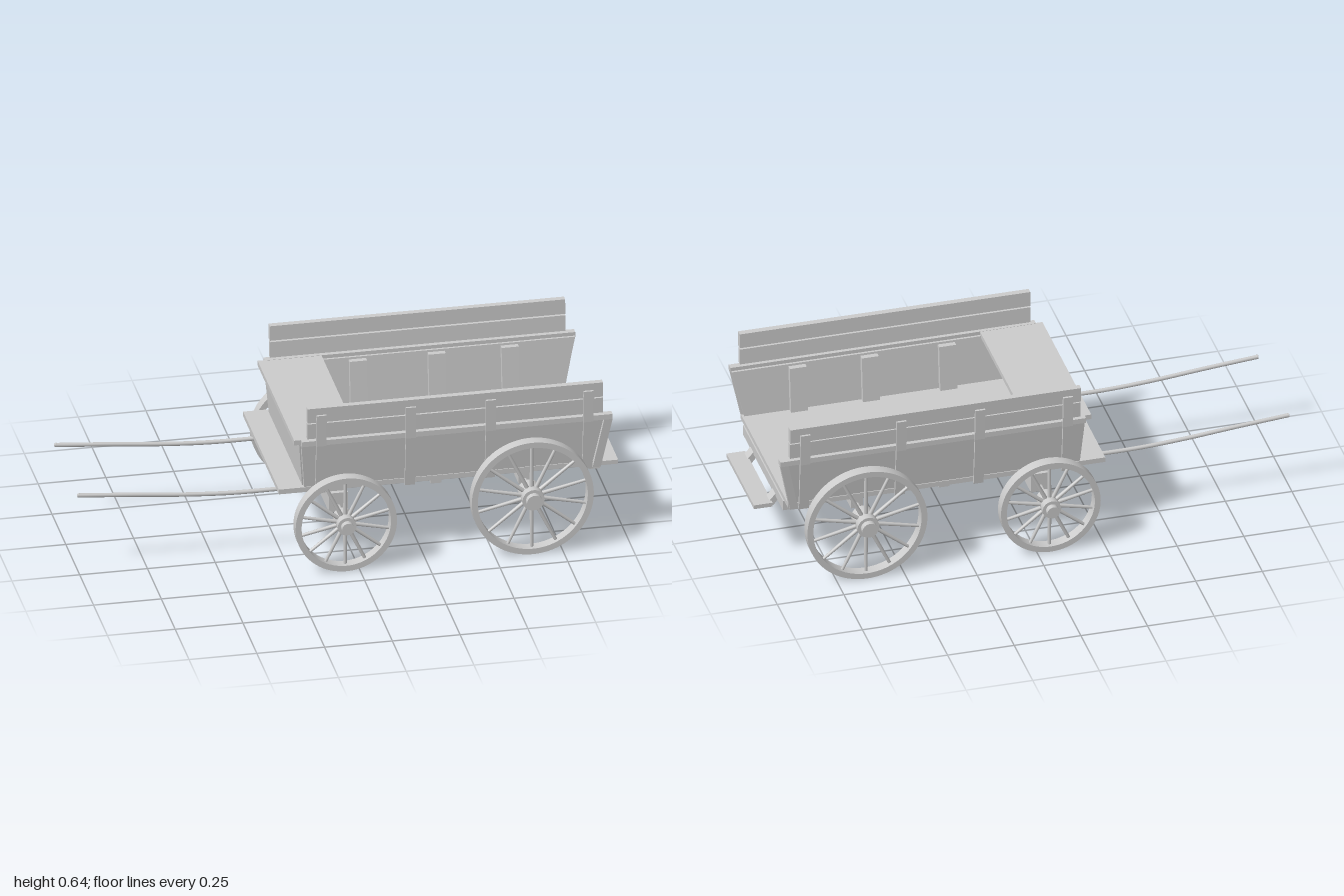
import * as THREE from 'three';
import { toCreasedNormals } from 'three/addons/utils/BufferGeometryUtils.js';

const mat = new THREE.MeshStandardMaterial({ color: 0xcccccc });

export function createModel() {
  const root = new THREE.Group();

  function add(name, geometry, parent = root) {
    const mesh = new THREE.Mesh(geometry, mat);
    mesh.name = name;
    parent.add(mesh);
    return mesh;
  }

  // Box given by its extents
  function box(name, x0, x1, y0, y1, z0, z1, parent = root) {
    const g = new THREE.BoxGeometry(x1 - x0, y1 - y0, z1 - z0);
    g.translate((x0 + x1) / 2, (y0 + y1) / 2, (z0 + z1) / 2);
    return add(name, g, parent);
  }

  // Box whose top face has its own x and z extents: bottom and top are [x0, x1, z0, z1]
  function taperedBox(name, bottom, top, y0, y1, parent = root) {
    const g = new THREE.BoxGeometry(1, 1, 1);
    const p = g.attributes.position;
    for (let i = 0; i < p.count; i++) {
      const e = p.getY(i) > 0 ? top : bottom;
      p.setXYZ(i, p.getX(i) > 0 ? e[1] : e[0], p.getY(i) > 0 ? y1 : y0, p.getZ(i) > 0 ? e[3] : e[2]);
    }
    const flat = g.toNonIndexed();
    flat.computeVertexNormals();
    return add(name, flat, parent);
  }

  // Rod along z
  function rod(name, x, y, z0, z1, r, parent = root) {
    const g = new THREE.CylinderGeometry(r, r, z1 - z0, 24).rotateX(Math.PI / 2);
    g.translate(x, y, (z0 + z1) / 2);
    return add(name, g, parent);
  }

  // Spoked wheel with rim, hub and axle cap; side is +1 or -1
  function wheel(name, x, r, hubR, side) {
    const w = new THREE.Group();
    w.name = name;
    w.position.set(x, r, 0);
    const ring = new THREE.Shape().absarc(0, 0, r, 0, Math.PI * 2);
    ring.holes.push(new THREE.Path().absarc(0, 0, r - 0.022, 0, Math.PI * 2, true));
    const rim = new THREE.ExtrudeGeometry(ring, { depth: 0.042, bevelEnabled: false, curveSegments: 40 });
    rim.translate(0, 0, -0.021 + side * 0.394);
    add('rim', toCreasedNormals(rim, 0.5), w);
    const span = (a, b) => (side > 0 ? [a, b] : [-b, -a]);
    rod('hub', 0, 0, ...span(0.341, 0.43), hubR, w);
    rod('axleCap', 0, 0, ...span(0.42, 0.452), hubR - 0.012, w);
    const length = r - 0.04;
    for (let i = 0; i < 14; i++) {
      const g = new THREE.CylinderGeometry(0.006, 0.008, length, 8);
      g.translate(0, 0.02 + length / 2, 0).rotateZ((i / 14) * Math.PI * 2);
      g.translate(0, 0, side * 0.394);
      add('spoke', g, w);
    }
    root.add(w);
  }

  // Floor, front wall and driver's bench
  box('floor', -0.28, 0.91, 0.288, 0.307, -0.322, 0.322);
  taperedBox('frontWall', [-0.19, -0.172, -0.3, 0.3], [-0.205, -0.187, -0.32, 0.32], 0.305, 0.486);
  box('bench', -0.225, 0.01, 0.484, 0.503, -0.33, 0.33);

  // Stake profile in (z, y), bent where the side boards turn upright
  const stakeShape = new THREE.Shape([
    [0.33, 0.287], [0.348, 0.485], [0.354, 0.61], [0.363, 0.61], [0.359, 0.485], [0.339, 0.287],
  ].map(([z, y]) => new THREE.Vector2(z, y)));
  const stakeGeometry = new THREE.ExtrudeGeometry(stakeShape, { depth: 0.037, bevelEnabled: false });
  stakeGeometry.rotateY(-Math.PI / 2).translate(0.0185, 0, 0);

  // Everything on one side of the body, repeated mirrored
  for (const s of [1, -1]) {
    const z = (a, b) => (s > 0 ? [a, b] : [-b, -a]);
    taperedBox('sidePanel', [-0.185, 0.9, ...z(0.298, 0.318)], [-0.2, 0.944, ...z(0.316, 0.338)], 0.3, 0.49);
    box('sideRail', -0.2, 0.946, 0.484, 0.504, ...z(0.325, 0.35));
    taperedBox('tailCleat', [0.875, 0.905, ...z(0.312, 0.335)], [0.915, 0.946, ...z(0.33, 0.35)], 0.288, 0.486);
    taperedBox('lowerBoard', [-0.18, 0.91, ...z(0.327, 0.346)], [-0.18, 0.91, ...z(0.33, 0.349)], 0.512, 0.573);
    taperedBox('upperBoard', [-0.18, 0.91, ...z(0.33, 0.352)], [-0.18, 0.91, ...z(0.331, 0.354)], 0.579, 0.637);
    for (const x of [-0.13, 0.2, 0.495, 0.855]) {
      const stake = add('stake', s > 0 ? stakeGeometry : stakeGeometry.clone().rotateY(Math.PI), root);
      stake.position.x = x;
    }
    for (const x of [0.14, 0.43, 0.7]) {
      taperedBox('innerCleat', [x - 0.032, x + 0.032, ...z(0.277, 0.3)],
        [x - 0.032, x + 0.032, ...z(0.295, 0.318)], 0.305, 0.482);
    }

    wheel('frontWheel', -0.05, 0.187, 0.035, s);
    wheel('rearWheel', 0.638, 0.225, 0.041, s);

    // Rear frame rail and the step's sloping bracket
    box('frameRail', 0.3, 0.9, 0.25, 0.27, ...z(0.13, 0.165));
    taperedBox('stepBracket', [0.922, 0.955, ...z(0.128, 0.168)], [0.865, 0.89, ...z(0.128, 0.168)], 0.212, 0.288);

    // Draw shaft, curving up towards its tip
    const path = new THREE.CatmullRomCurve3([
      [-1, 0.3], [-0.8, 0.283], [-0.6, 0.264], [-0.43, 0.254], [-0.25, 0.253], [-0.04, 0.253],
    ].map(([x, y]) => new THREE.Vector3(x, y, s * 0.208)));
    add('shaft', new THREE.TubeGeometry(path, 30, 0.008, 10, false));
    for (const [x, y] of [[-1, 0.3], [-0.04, 0.253]]) {
      add('shaftEnd', new THREE.SphereGeometry(0.008, 10, 6)).position.set(x + (x < -0.5 ? 0.006 : 0), y, s * 0.208);
    }
  }

  // Axles and the cross beams under the floor
  rod('frontAxle', -0.05, 0.189, -0.345, 0.345, 0.011);
  rod('rearAxle', 0.638, 0.226, -0.345, 0.345, 0.011);
  box('frontAxleBeam', -0.085, -0.015, 0.172, 0.247, -0.272, 0.272);
  box('frontBolster', -0.085, -0.015, 0.247, 0.29, -0.255, 0.255);
  box('rearBolster', 0.605, 0.67, 0.265, 0.289, -0.28, 0.28);
  box('rearAxleBeam', 0.615, 0.66, 0.216, 0.265, -0.272, 0.272);
  box('frameCrossbar', 0.29, 0.33, 0.25, 0.27, -0.272, 0.272);
  box('tailCrossbar', 0.875, 0.915, 0.25, 0.289, -0.272, 0.272);
  box('stepSupport', 0.79, 0.89, 0.232, 0.25, -0.18, 0.18);
  box('step', 0.93, 1, 0.217, 0.233, -0.185, 0.185);

  return root;
}
